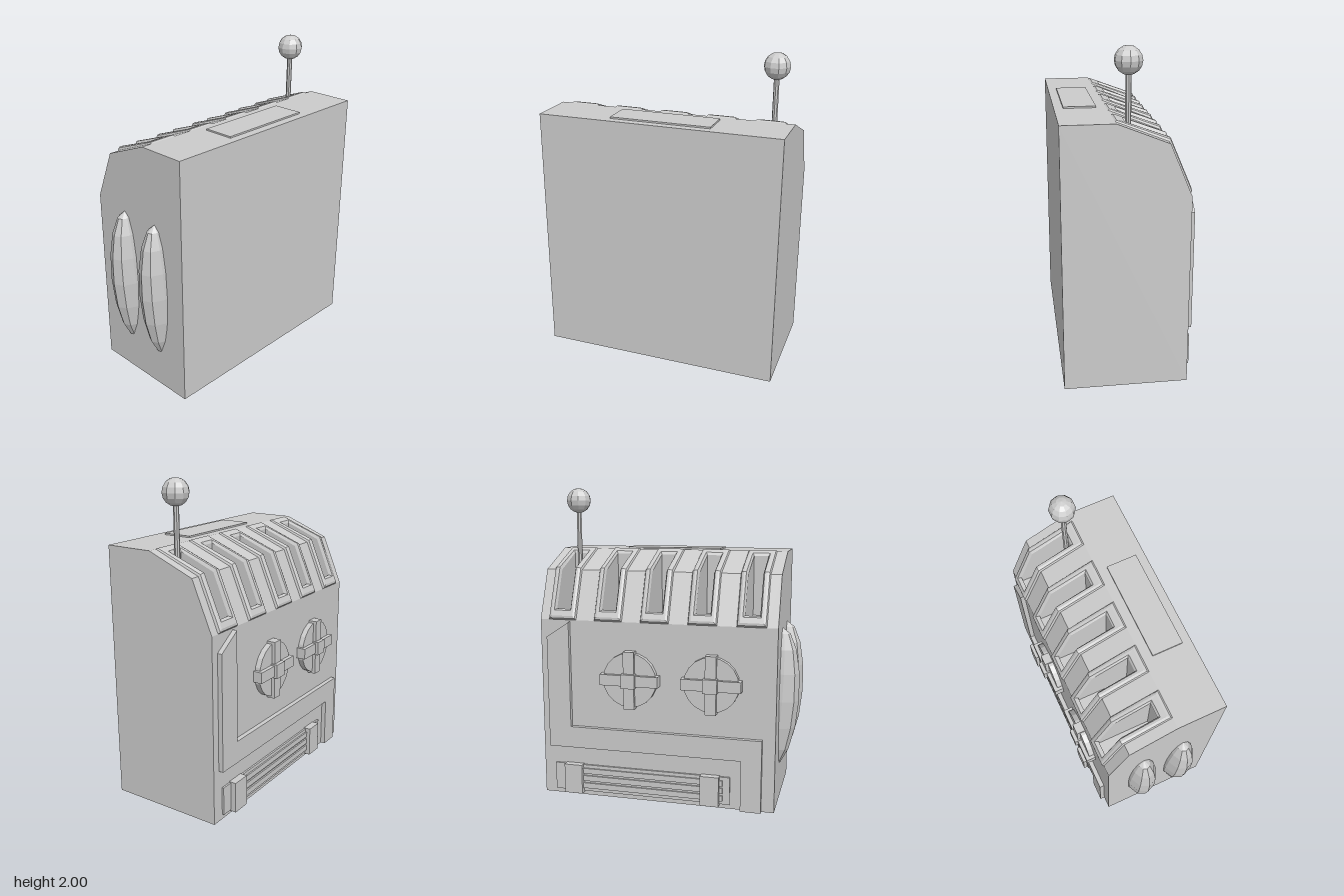
import * as THREE from 'three';

const mat = new THREE.MeshStandardMaterial({ color: 0xcccccc, flatShading: true, side: THREE.DoubleSide });
const LEFT = 0.82, RIGHT = -0.71, BACK = -0.33, FRONT = 0.41;
// Sloping roof, as [z, y] from the flat top down to the back wall
const ROOF = [[0.1, 1.6], [-0.2, 1.48], [BACK, 1.17]];

function add(parent, name, geometry, x = 0, y = 0, z = 0) {
  const mesh = new THREE.Mesh(geometry, mat);
  mesh.name = name;
  mesh.position.set(x, y, z);
  parent.add(mesh);
  return mesh;
}

function box(parent, name, w, h, d, x, y, z) {
  return add(parent, name, new THREE.BoxGeometry(w, h, d), x, y, z);
}

function shapeOf(points) {
  return new THREE.Shape(points.map(([x, y]) => new THREE.Vector2(x, y)));
}

// Joins equal-length rows of points into a skin
function skin(rows, closed) {
  const n = rows[0].length, index = [];
  for (let r = 0; r < rows.length - 1; r++) {
    for (let i = 0; i < (closed ? n : n - 1); i++) {
      const a = r * n + i, b = r * n + (i + 1) % n;
      index.push(a, b, a + n, b, b + n, a + n);
    }
  }
  const geometry = new THREE.BufferGeometry();
  geometry.setAttribute('position', new THREE.Float32BufferAttribute(rows.flat(2), 3));
  geometry.setIndex(index);
  const flat = geometry.toNonIndexed();
  flat.computeVertexNormals();
  return flat;
}

// Sheet following a [z, y] profile between two x positions
function sheet(parent, name, profile, x0, x1) {
  const row = (x) => profile.map(([z, y]) => [x, y, z]);
  return add(parent, name, skin([row(x1), row(x0)], false));
}

function roofY(z) {
  const [a, b] = z > ROOF[1][0] ? [ROOF[0], ROOF[1]] : [ROOF[1], ROOF[2]];
  return a[1] + (b[1] - a[1]) * (z - a[0]) / (b[0] - a[0]);
}

// Bevelled frame bent over the roof, falling into a recess with a flat floor
function slot(parent, x) {
  const half = 0.092, floorY = 1.19;
  const ring = (inset, lift, endInset = inset, flatY) => {
    const side = [ROOF[0][0] - endInset, ROOF[1][0], BACK + endInset * 0.4];
    const point = (sx, z, i) => {
      const out = [0.25, 0.7, 0.95][i] * lift, up = [0.6, 0.8, 0.4][i] * lift;
      return [x + sx * (half - inset), flatY ?? roofY(z) + up, z - out];
    };
    return [...side.map((z, i) => point(-1, z, i)),
      ...side.map((z, i) => point(1, z, i)).reverse()];
  };
  const rows = [ring(0, 0), ring(0.006, 0.014), ring(0.02, 0.02), ring(0.036, 0.02, 0.055),
    ring(0.046, 0, 0.07), ring(0.046, 0, 0.07, floorY)];
  add(parent, 'slotFrame', skin(rows, true));
  const floor = add(parent, 'slotFloor', new THREE.PlaneGeometry(0.092, 0.332), x, floorY, -0.136);
  floor.rotation.x = -Math.PI / 2;
}

function fan(parent, x) {
  const group = new THREE.Group();
  group.name = 'fan';
  group.position.set(x, 0.805, BACK);
  const disc = add(group, 'fanDisc', new THREE.CylinderGeometry(0.175, 0.175, 0.035, 20), 0, 0, -0.0175);
  disc.rotation.x = Math.PI / 2;
  box(group, 'fanBarAcross', 0.38, 0.07, 0.06, 0, 0, -0.03);
  box(group, 'fanBarUpright', 0.07, 0.37, 0.056, 0, 0, -0.028);
  box(group, 'fanHub', 0.09, 0.09, 0.08, 0, 0, -0.04);
  parent.add(group);
}

export function createModel() {
  const model = new THREE.Group();
  model.name = 'machine';

  // Casing, open underneath
  const casing = new THREE.Group();
  casing.name = 'casing';
  model.add(casing);
  sheet(casing, 'frontAndTop', [[FRONT, 0], [FRONT, 1.6], ROOF[0]], RIGHT, LEFT);
  sheet(casing, 'backWall', [ROOF[2], [BACK, 0]], RIGHT, LEFT);
  const outline = shapeOf([[-FRONT, 0], [-FRONT, 1.6], ...ROOF.map(([z, y]) => [-z, y]), [-BACK, 0]]);
  for (const x of [RIGHT, LEFT]) {
    add(casing, 'sideWall', new THREE.ShapeGeometry(outline), x).rotation.y = Math.PI / 2;
  }

  // Roof slots with plain roof between them
  let edge = RIGHT;
  for (let i = 0; i < 5; i++) {
    const x = -0.55 + i * 0.305;
    slot(model, x);
    sheet(casing, 'roofStrip', ROOF, edge, x - 0.092);
    edge = x + 0.092;
  }
  sheet(casing, 'roofStrip', ROOF, edge, LEFT);

  // Thin plate on the flat top
  box(model, 'topPlate', 0.635, 0.012, 0.195, 0.058, 1.604, 0.258);

  // Lever with a ball knob
  add(model, 'leverRod', new THREE.CylinderGeometry(0.017, 0.017, 0.68, 8), 0.675, 1.53, 0.015);
  add(model, 'leverKnob', new THREE.SphereGeometry(0.081, 10, 8), 0.675, 1.919, 0.015);

  // Two faceted bulges through the right side
  for (const z of [-0.09, 0.18]) {
    const bulge = add(model, 'sideBulge', new THREE.SphereGeometry(1, 10, 8), -0.685, 0.68, z);
    bulge.scale.set(0.14, 0.46, 0.1);
    bulge.rotation.z = 0.05;
  }

  // Stepped duct on the back
  const duct = shapeOf([[0.77, 1.06], [0.62, 1.16], [0.62, 0.47], [-0.63, 0.47],
    [-0.63, 0], [-0.5, 0], [-0.5, 0.33], [0.77, 0.33]]);
  add(model, 'backDuct', new THREE.ExtrudeGeometry(duct, { depth: 0.03, bevelEnabled: false }), 0, 0, BACK - 0.03);

  fan(model, -0.31);
  fan(model, 0.215);

  // Low vent with slats and two clamps
  box(model, 'ventPlate', 1.17, 0.18, 0.012, 0.155, 0.12, BACK - 0.006);
  for (let i = 0; i < 3; i++) {
    box(model, 'ventSlat', 1.03, 0.036, 0.016, 0.13, 0.07 + i * 0.05, BACK - 0.014);
  }
  for (const x of [0.605, -0.305]) {
    box(model, 'ventClamp', 0.12, 0.195, 0.046, x, 0.118, BACK - 0.023);
  }

  return model;
}
